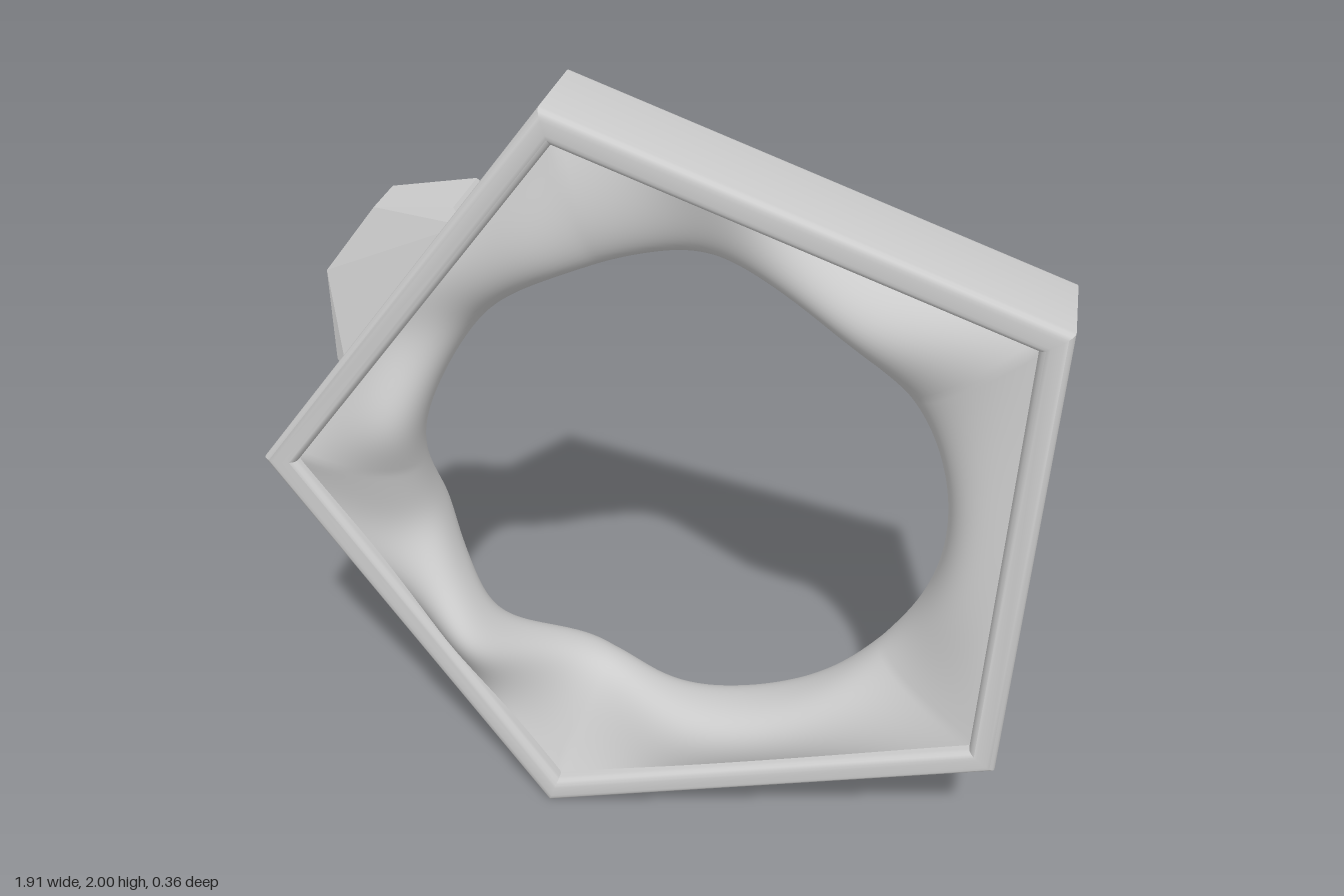
import * as THREE from 'three';
import { toCreasedNormals } from 'three/addons/utils/BufferGeometryUtils.js';
import { ConvexGeometry } from 'three/addons/geometries/ConvexGeometry.js';

const V2 = (x, y) => new THREE.Vector2(x, y);
// Slightly irregular pentagon, counter-clockwise
const PENTAGON = [V2(-0.21, 2), V2(-0.96, 1.02), V2(-0.25, 0), V2(0.925, 0.355), V2(0.955, 1.6)];
const CENTRE = V2(0.085, 0.99);
const HOLE_RADIUS = 0.65;
const HALF_DEPTH = 0.135;

// Edges as outward normal and distance from the hole centre
const EDGES = PENTAGON.map((a, i) => {
  const d = PENTAGON[(i + 1) % 5].clone().sub(a).normalize();
  const n = V2(d.y, -d.x);
  return { n, dist: a.clone().sub(CENTRE).dot(n) };
});

// Corner points of the pentagon moved inwards by a distance
function insetPentagon(inset) {
  return EDGES.map((e, i) => {
    const f = EDGES[(i + 4) % 5];
    const c = e.dist - inset, k = f.dist - inset;
    const det = e.n.x * f.n.y - e.n.y * f.n.x;
    return V2((c * f.n.y - k * e.n.y) / det, (e.n.x * k - f.n.x * c) / det).add(CENTRE);
  });
}

// Distance from the hole centre to the inset pentagon along an angle
function rimRadius(angle, inset) {
  const dir = V2(Math.cos(angle), Math.sin(angle));
  return Math.min(...EDGES.map(({ n, dist }) => {
    const k = n.dot(dir);
    return k > 0.01 ? (dist - inset) / k : Infinity;
  }));
}

// Swells of the inner band: angle in degrees, height in z, width in degrees
const SWELLS = [
  [53, 0.09, 17], [114, 0.045, 12], [167, 0.075, 13], [221, 0.085, 12],
  [249, -0.115, 15], [325, -0.04, 16], [86, -0.06, 12], [141, -0.05, 11], [194, -0.04, 9],
];
function wave(deg) {
  return SWELLS.reduce((sum, [at, height, width]) => {
    const d = ((deg - at + 540) % 360) - 180;
    return sum + height * Math.exp(-((d / width) ** 2));
  }, 0);
}

// Band running from the front rim over the round hole to the back rim
function bandGeometry() {
  const around = 360, half = 18, rows = 2 * half + 1;
  const positions = [], indices = [];
  for (let i = 0; i < around; i++) {
    const a = (i / around) * Math.PI * 2;
    const w = wave((i / around) * 360);
    const rim = rimRadius(a, 0.06);
    const middle = HOLE_RADIUS + (rim - HOLE_RADIUS) * 0.45;
    const side = (s) => new THREE.CubicBezierCurve(
      V2(rim, s * 0.1), V2(middle, s * 0.13 + w), V2(HOLE_RADIUS, s * 0.1 + w * 0.8), V2(HOLE_RADIUS, w * 0.8));
    const front = side(1), back = side(-1);
    for (let j = 0; j < rows; j++) {
      const p = j <= half ? front.getPoint(j / half) : back.getPoint((rows - 1 - j) / half);
      positions.push(CENTRE.x + p.x * Math.cos(a), CENTRE.y + p.x * Math.sin(a), p.y);
      if (j < rows - 1) {
        const p0 = i * rows + j, p1 = ((i + 1) % around) * rows + j;
        indices.push(p0, p0 + 1, p1, p1, p0 + 1, p1 + 1);
      }
    }
  }
  const g = new THREE.BufferGeometry();
  g.setAttribute('position', new THREE.Float32BufferAttribute(positions, 3));
  g.setIndex(indices);
  g.computeVertexNormals();
  return g;
}

// Pentagonal frame with softened edges
function frameGeometry() {
  const bevel = 0.022;
  const shape = new THREE.Shape(PENTAGON);
  shape.holes.push(new THREE.Path(insetPentagon(0.07).reverse()));
  const g = new THREE.ExtrudeGeometry(shape, {
    depth: 2 * (HALF_DEPTH - bevel), bevelEnabled: true, bevelSegments: 4,
    bevelSize: bevel, bevelThickness: bevel, bevelOffset: -bevel,
  });
  g.translate(0, 0, -(HALF_DEPTH - bevel));
  return toCreasedNormals(g, 0.6);
}

// Knob on the upper left edge, its front slanting back towards the top
function knobGeometry() {
  const outer = [[-0.43, 1.73, 0.075], [-0.64, 1.69, 0.03], [-0.77, 1.52, 0.04], [-0.755, 1.3, 0.07]];
  const base = [[-0.4, 1.7], [-0.72, 1.28]];
  const points = [];
  for (const [x, y, z] of outer) {
    points.push(new THREE.Vector3(x, y, z), new THREE.Vector3(x, y, -0.095));
  }
  for (const [x, y] of base) {
    points.push(new THREE.Vector3(x, y, 0.1), new THREE.Vector3(x, y, -0.1));
  }
  return new ConvexGeometry(points);
}

export function createModel() {
  const group = new THREE.Group();
  group.name = 'pentagonRing';
  const grey = new THREE.MeshStandardMaterial({ color: 0xcccccc });
  const open = new THREE.MeshStandardMaterial({ color: 0xcccccc, side: THREE.DoubleSide });
  const add = (name, geometry, material) => {
    const mesh = new THREE.Mesh(geometry, material);
    mesh.name = name;
    group.add(mesh);
  };
  add('frame', frameGeometry(), grey);
  add('innerBand', bandGeometry(), open);
  add('sideKnob', knobGeometry(), grey);
  return group;
}
